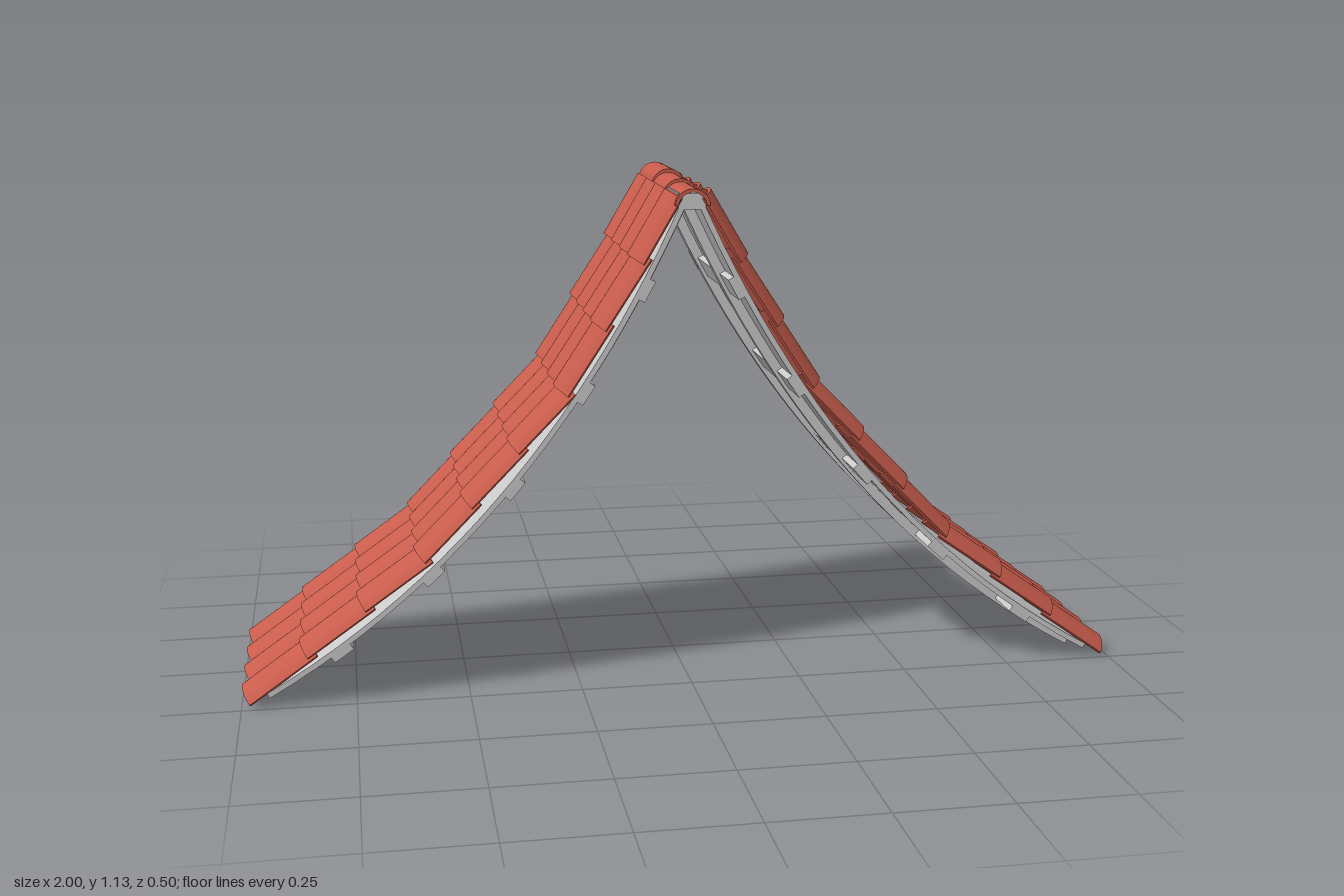
import * as THREE from 'three';
import { toCreasedNormals } from 'three/addons/utils/BufferGeometryUtils.js';

const clay = new THREE.MeshStandardMaterial({ color: 0xc85c4c });
const timber = new THREE.MeshStandardMaterial({ color: 0xcccccc });
const v2 = (x, y) => new THREE.Vector2(x, y);

const COLUMNS = 4, ROWS = 3, WIDTH = 0.1235, RISE = 0.03;

function add(parent, name, geometry, material) {
  const mesh = new THREE.Mesh(geometry, material);
  mesh.name = name;
  parent.add(mesh);
  return mesh;
}

// Arched tile section extruded along +z, crest at y = 0
function archGeometry(width, rise, thickness, length) {
  const r = (width * width / 4 + rise * rise) / (2 * rise);
  const half = Math.asin(Math.min(1, width / 2 / r));
  const a0 = Math.PI / 2 - half, a1 = Math.PI / 2 + half;
  const shape = new THREE.Shape();
  shape.absarc(0, -r, r, a0, a1, false);
  shape.absarc(0, -r, r - thickness, a1, a0, true);
  shape.closePath();
  const geo = new THREE.ExtrudeGeometry(shape, { depth: length, bevelEnabled: false, curveSegments: 14 });
  return toCreasedNormals(geo, 0.6);
}

// Underside curve that the timber follows
const sweep = new THREE.QuadraticBezierCurve(v2(0.02, 1.1), v2(0.355, 0.365), v2(0.95, 0.03));

// Point on the curve, sunk by a depth along its normal
function sunk(t, depth) {
  const p = sweep.getPointAt(t), d = sweep.getTangentAt(t);
  return v2(p.x + d.y * depth, p.y - d.x * depth);
}

// Curved strip of timber between two depths, spanning z0 to z1
function stripGeometry(t0, t1, top, bottom, z0, z1, steps) {
  const upper = [], lower = [];
  for (let i = 0; i <= steps; i++) {
    const t = t0 + (t1 - t0) * i / steps;
    upper.push(sunk(t, top));
    lower.unshift(sunk(t, bottom));
  }
  const geo = new THREE.ExtrudeGeometry(new THREE.Shape([...upper, ...lower]), { depth: z1 - z0, bevelEnabled: false });
  geo.translate(0, 0, z0);
  return toCreasedNormals(geo, 0.5);
}

function createSlope(name) {
  const slope = new THREE.Group();
  slope.name = name;

  // Timber deck, rafters and cross battens
  add(slope, 'deck', stripGeometry(0, 0.995, 0, 0.012, -0.243, 0.243, 24), timber);
  for (const z of [-0.131, 0.131]) {
    add(slope, 'rafter', stripGeometry(0, 1, 0.008, 0.034, z - 0.015, z + 0.015, 24), timber);
  }
  for (const t of [0.13, 0.31, 0.49, 0.67, 0.85]) {
    add(slope, 'batten', stripGeometry(t, t + 0.035, 0.01, 0.026, -0.243, 0.243, 2), timber);
  }

  // Tiles: three straight pitches, each with overlapping rows
  const crest = [v2(0.05, 1.115), v2(0.3, 0.69), v2(0.615, 0.335), v2(1, 0.035)];
  for (let s = 0; s < 3; s++) {
    for (let row = 0; row < ROWS; row++) {
      const low = crest[s].clone().lerp(crest[s + 1], (row + 1) / ROWS);
      const high = crest[s].clone().lerp(crest[s + 1], row / ROWS);
      const run = low.clone().sub(high).normalize();
      const isTop = s === 0 && row === 0;
      // the upper end tucks under the row above
      high.addScaledVector(run, isTop ? 0 : -0.02);
      if (!isTop) high.add(v2(run.y, -run.x).multiplyScalar(0.009));
      const dir = new THREE.Vector3(low.x - high.x, low.y - high.y, 0);
      const length = dir.length();
      dir.normalize();
      const up = new THREE.Vector3(-dir.y, dir.x, 0);
      const across = new THREE.Vector3().crossVectors(up, dir);
      const geo = archGeometry(WIDTH, RISE, 0.008, length);
      geo.applyMatrix4(new THREE.Matrix4().makeBasis(across, up, dir));
      for (let c = 0; c < COLUMNS; c++) {
        const z = (c - (COLUMNS - 1) / 2) * WIDTH;
        add(slope, 'roofTile', geo, clay).position.set(high.x, high.y, z);
      }
    }
  }
  return slope;
}

export function createModel() {
  const roof = new THREE.Group();
  roof.name = 'tiledRoof';

  // Two matching slopes
  const left = createSlope('leftSlope');
  const right = createSlope('rightSlope');
  right.rotation.y = Math.PI;
  roof.add(left, right);

  // Ridge beam
  add(roof, 'ridgeBeam', new THREE.BoxGeometry(0.06, 0.035, 0.486), timber).position.y = 1.092;

  // Ridge caps, each stepping over the one in front
  const caps = [[0.06, 0.25, 1.12], [-0.09, 0.095, 1.127], [-0.25, -0.06, 1.135]];
  for (const [z0, z1, y] of caps) {
    add(roof, 'ridgeCap', archGeometry(0.078, 0.036, 0.008, z1 - z0), clay).position.set(0, y, z0);
  }
  return roof;
}
